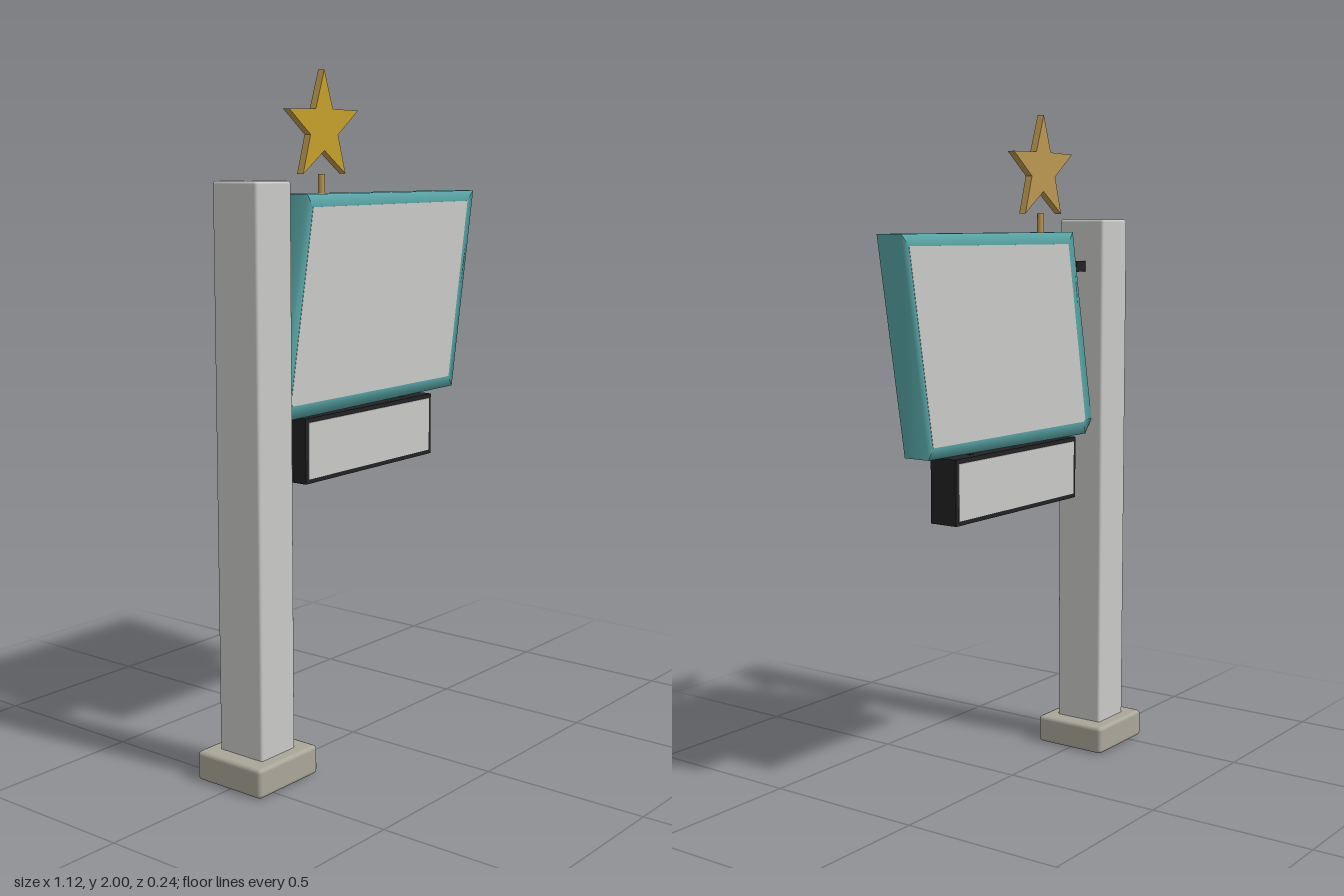
import * as THREE from 'three';
import { mergeGeometries } from 'three/addons/utils/BufferGeometryUtils.js';
import { RoundedBoxGeometry } from 'three/addons/geometries/RoundedBoxGeometry.js';

const material = (name, color) => {
  const m = new THREE.MeshStandardMaterial({ color });
  m.name = name;
  return m;
};

// Extrude a list of [x, y] points from z0 to z1
function slab(points, z0, z1) {
  const shape = new THREE.Shape(points.map(([x, y]) => new THREE.Vector2(x, y)));
  const geo = new THREE.ExtrudeGeometry(shape, { depth: z1 - z0, bevelEnabled: false });
  return geo.translate(0, 0, z0);
}

// Slanted frame: each side wraps from the front rim over the edge to the back rim
function frameGeometry(outer, inner, depth) {
  const sides = outer.map((_, i) => {
    const j = (i + 1) % outer.length;
    const positions = [];
    for (const k of [i, j]) {
      positions.push(...inner[k], depth, ...outer[k], depth, ...outer[k], -depth, ...inner[k], -depth);
    }
    const index = [];
    for (let r = 0; r < 3; r++) index.push(r, r + 1, r + 5, r, r + 5, r + 4);
    const geo = new THREE.BufferGeometry();
    geo.setAttribute('position', new THREE.Float32BufferAttribute(positions, 3));
    geo.setIndex(index);
    geo.computeVertexNormals();
    return geo;
  });
  return mergeGeometries(sides);
}

export function createModel() {
  const group = new THREE.Group();
  const grey = material('light grey', 0xc9c9c8);
  const stone = material('stone', 0xaaa699);
  const teal = material('teal', 0x58a5a6);
  const black = material('black', 0x222224);
  const gold = material('gold', 0xc5a02c);
  const tan = material('tan', 0xbb9752);

  const add = (name, geo, mat, x = 0, y = 0, z = 0) => {
    const mesh = new THREE.Mesh(geo, mat);
    mesh.name = name;
    mesh.position.set(x, y, z);
    group.add(mesh);
    return mesh;
  };
  const box = (name, mat, w, h, d, x, y, z = 0) =>
    add(name, new THREE.BoxGeometry(w, h, d), mat, x, y, z);

  // Base and post
  add('base', new RoundedBoxGeometry(0.25, 0.086, 0.24, 2, 0.012), stone, -0.44, 0.045, 0);
  add('post', new RoundedBoxGeometry(0.143, 1.63, 0.16, 2, 0.008), grey, -0.44, 0.88, 0);

  // Brackets joining the post to the sign
  for (const y of [1.55, 1.14]) box('bracket', black, 0.055, 0.032, 0.034, -0.346, y);

  // Slanted main sign with a panel showing on both faces
  const outer = [[-0.335, 1.03], [0.452, 1.038], [0.56, 1.652], [-0.257, 1.656], [-0.37, 1.075]];
  const inner = [[-0.325, 1.068], [0.432, 1.07], [0.528, 1.62], [-0.233, 1.62], [-0.333, 1.076]];
  add('signFrame', frameGeometry(outer, inner, 0.042), teal);
  add('signPanel', slab(inner, -0.043, 0.043), grey);

  // Lower sign box, its two panels and hangers
  box('lowerSignBox', black, 0.608, 0.19, 0.09, 0.03, 0.931);
  for (const s of [1, -1]) {
    box('lowerSignPanel', grey, 0.584, 0.164, 0.004, 0.03, 0.931, s * 0.045);
    box('hanger', black, 0.018, 0.03, 0.03, 0.03 + s * 0.19, 1.034);
  }

  // Star with a gold face, above a short rod
  const star = [];
  for (let i = 0; i < 10; i++) {
    const a = Math.PI / 2 + (i * Math.PI) / 5;
    const r = i % 2 ? 0.064 : 0.16;
    star.push([Math.cos(a) * r, Math.sin(a) * r]);
  }
  add('starBody', slab(star, -0.011, 0.01), tan, -0.145, 1.84);
  add('starFace', slab(star, 0.01, 0.0115), gold, -0.145, 1.84);
  add('starRod', new THREE.CylinderGeometry(0.01, 0.01, 0.075, 12), tan, -0.145, 1.673);

  return group;
}
